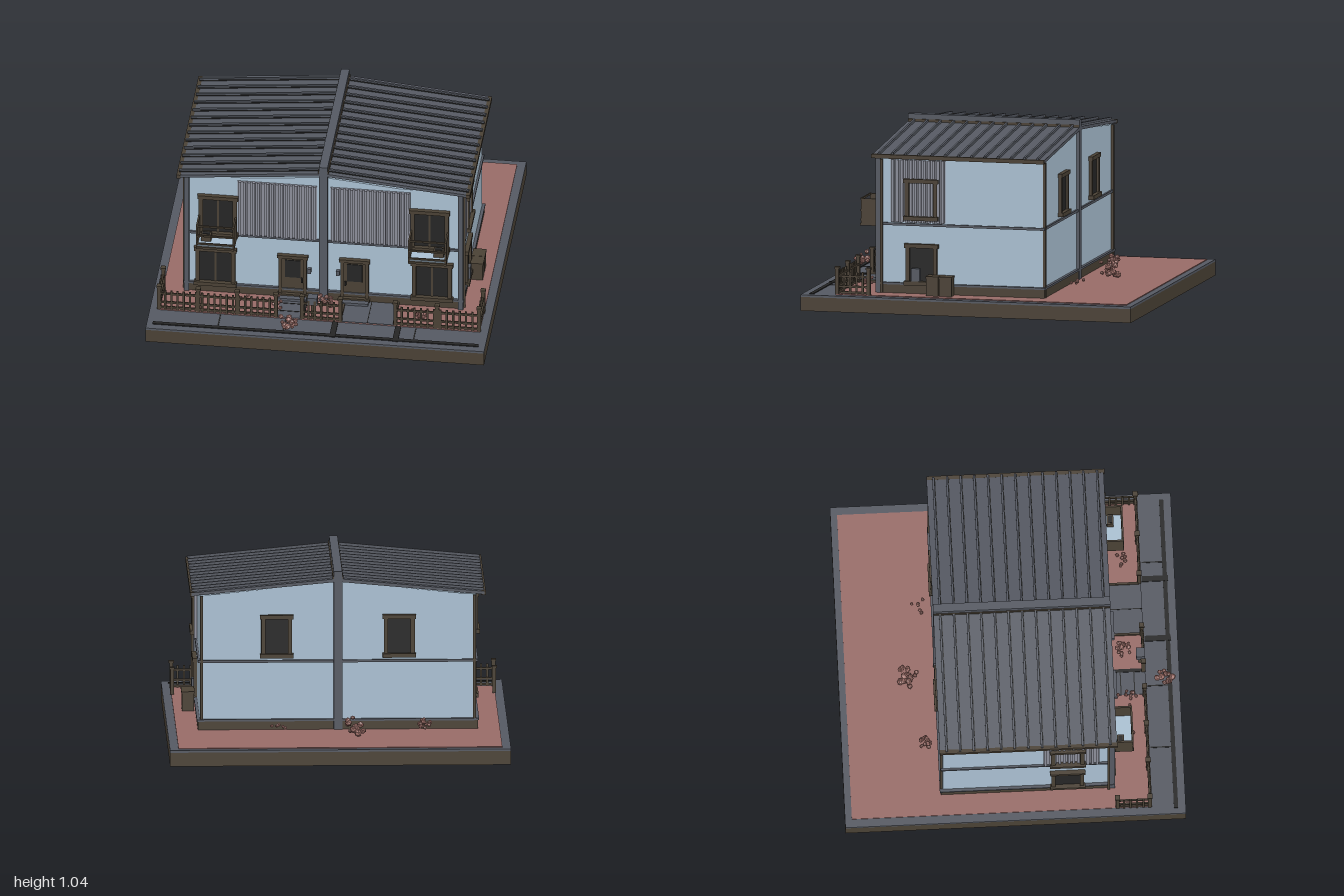
import * as THREE from 'three';

const mat = (name, color, side = THREE.FrontSide) => {
  const m = new THREE.MeshStandardMaterial({ color, side });
  m.name = name;
  return m;
};

export function createModel() {
  const root = new THREE.Group();
  const wall = mat('blue wall', 0xa9bfd1);
  const slate = mat('slate', 0x555962);
  const brown = mat('dark brown', 0x4a4135);
  const black = mat('dark glass', 0x252525);
  const brick = mat('red ground', 0x976b67);
  const slatGrey = mat('slat grey', 0x8b8d99);
  const leaf = mat('shrub pink', 0xa3736c);
  leaf.flatShading = true;

  const box = (name, m, x0, x1, y0, y1, z0, z1, parent = root) => {
    const mesh = new THREE.Mesh(new THREE.BoxGeometry(x1 - x0, y1 - y0, z1 - z0), m);
    mesh.position.set((x0 + x1) / 2, (y0 + y1) / 2, (z0 + z1) / 2);
    mesh.name = name;
    parent.add(mesh);
    return mesh;
  };
  const group = (name, x = 0, y = 0, z = 0, ry = 0) => {
    const g = new THREE.Group();
    g.name = name;
    g.position.set(x, y, z);
    g.rotation.y = ry;
    root.add(g);
    return g;
  };
  const shape = pts => new THREE.Shape(pts.map(p => new THREE.Vector2(...p)));
  const prism = (name, m, pts, z0, z1) => {
    const geo = new THREE.ExtrudeGeometry(shape(pts), { depth: z1 - z0, bevelEnabled: false });
    const mesh = new THREE.Mesh(geo, m);
    mesh.position.z = z0;
    mesh.name = name;
    root.add(mesh);
  };

  // Plot: plinth, paving, garden, drive and path
  box('plinth', brown, -1, 1, 0, 0.082, -1, 1);
  box('paving', slate, -1, 1, 0.082, 0.095, -1, 1);
  box('garden', brick, -0.95, 0.95, 0.095, 0.1, -0.96, 0.8);
  box('driveway', slate, 0.13, 0.44, 0.1, 0.104, 0.56, 0.8);
  box('drivewayJoint', black, 0.282, 0.287, 0.104, 0.106, 0.56, 0.8);
  box('path', slate, -0.25, -0.11, 0.1, 0.104, 0.56, 0.8);
  box('pathEdge', black, -0.11, -0.09, 0.1, 0.108, 0.56, 0.8);
  for (const z of [0.65, 0.73]) box('pathJoint', black, -0.25, -0.11, 0.104, 0.106, z, z + 0.006);
  box('gutterStrip', black, -0.965, 0.96, 0.095, 0.1, 0.93, 0.955);
  for (const x of [0.08, 0.452]) box('crossDrain', black, x, x + 0.034, 0.095, 0.101, 0.805, 0.96);
  for (const x of [-0.585, -0.2, 0.57]) box('pavingJoint', black, x, x + 0.007, 0.095, 0.098, 0.81, 0.93);

  // House body, with the open gable seen from behind
  prism('walls', wall, [[-0.81, 0.1], [0.81, 0.1], [0.81, 0.905], [0.44, 0.912], [0, 0.955], [-0.44, 0.912], [-0.81, 0.905]], -0.42, 0.567);
  const gable = new THREE.Mesh(new THREE.ShapeGeometry(shape([[-0.81, 0.9], [0.81, 0.9], [0, 0.984]])), wall);
  gable.rotation.y = Math.PI;
  gable.position.z = -0.421;
  gable.name = 'backGable';
  root.add(gable);
  box('footing', brown, -0.822, 0.822, 0.1, 0.15, -0.432, 0.577);
  box('footingCap', slate, -0.828, 0.828, 0.15, 0.162, -0.438, 0.583);
  box('floorBand', slate, -0.822, 0.822, 0.5, 0.515, -0.432, 0.577);

  // Roof slopes, seams, eaves and party wall
  for (const s of [-1, 1]) {
    const pts = [[0, 0.984], [s * 0.86, 0.904], [s * 0.86, 0.922], [0, 1.003]];
    prism('roofSlope', slate, s > 0 ? pts : pts.reverse(), -0.44, 0.6);
    for (let i = 0; i < 13; i++) {
      const seam = box('roofSeam', slate, -0.425, 0.425, -0.007, 0.009, -0.006, 0.006);
      seam.position.set(s * 0.434, 0.968, -0.4 + i * 0.08);
      seam.rotation.z = -s * Math.atan2(0.081, 0.86);
      const shade = box('seamGroove', black, -0.425, 0.425, -0.003, 0.003, -0.002, 0.002);
      shade.position.set(s * 0.434, 0.964, -0.391 + i * 0.08);
      shade.rotation.z = seam.rotation.z;
    }
    box('eavesGutter', brown, s * 0.855 - 0.012, s * 0.855 + 0.012, 0.9, 0.924, -0.44, 0.605);
    box('downpipe', slate, s * 0.81 - 0.015, s * 0.81 + 0.015, 0.1, 0.905, 0.56, 0.59);
    box('cornerPipe', brown, s * 0.828 - 0.007, s * 0.828 + 0.007, 0.1, 0.89, 0.545, 0.56);
    box('rearPipe', brown, s * 0.8 - 0.008, s * 0.8 + 0.008, 0.1, 0.9, -0.436, -0.42);
  }
  box('ridgeWall', slate, -0.025, 0.025, 0.95, 1.045, -0.44, 0.6);
  box('ridgeFlashing', brown, -0.031, 0.031, 0.99, 1.015, -0.437, 0.597);
  box('frontPilaster', slate, -0.025, 0.025, 0.1, 1, 0.56, 0.6);
  box('backPilaster', slate, -0.025, 0.025, 0.1, 1, -0.44, -0.41);

  // Framed opening; local z points out of the wall
  const opening = (name, x, y, z, ry, w, h, { glass = true, mullion = true, f = 0.024 } = {}) => {
    const g = group(name, x, y, z, ry), a = w / 2;
    for (const s of [-1, 1]) box('jamb', brown, s * (a - f / 2) - f / 2, s * (a - f / 2) + f / 2, 0, h, 0, 0.02, g);
    box('head', brown, -a - 0.008, a + 0.008, h - f, h, 0, 0.026, g);
    box('sill', brown, -a - 0.008, a + 0.008, 0, f, 0, 0.032, g);
    if (glass) box('glass', black, -a + f, a - f, f, h - f, 0, 0.006, g);
    if (mullion) box('mullion', brown, -0.006, 0.006, f, h - f, 0, 0.012, g);
    return g;
  };
  // Vertical slat cladding
  const slats = (name, x, y, z, ry, w, h) => {
    const g = group(name, x, y, z, ry), n = Math.round(w / 0.028);
    box('backing', slatGrey, -w / 2, w / 2, 0, h, 0, 0.006, g);
    for (let i = 0; i < n; i++) {
      const c = -w / 2 + (i + 0.5) * w / n;
      box('slat', slatGrey, c - 0.008, c + 0.008, 0, h, 0.006, 0.018, g);
    }
  };

  for (const s of [-1, 1]) {
    // Front openings and cladding
    slats('frontCladding', s * 0.275, 0.515, 0.567, 0, 0.47, 0.375);
    opening('upperFrontWindow', s * 0.625, 0.5, 0.567, 0, 0.225, 0.28);
    opening('lowerFrontWindow', s * 0.64, 0.15, 0.567, 0, 0.235, 0.262);
    const door = opening('frontDoor', s * 0.183, 0.11, 0.567, 0, 0.165, 0.287, { glass: false, mullion: false, f: 0.02 });
    box('doorLeaf', brown, -0.063, 0.063, 0.02, 0.267, 0, 0.01, door);
    box('doorPane', black, -0.045, 0.045, 0.13, 0.25, 0.01, 0.014, door);
    box('doorHandle', black, -s * 0.055 - 0.005, -s * 0.055 + 0.005, 0.1, 0.13, 0.01, 0.022, door);
    box('doorStep', slate, s * 0.183 - 0.085, s * 0.183 + 0.085, 0.1, 0.12, 0.57, 0.63);
    box('doorLamp', slate, s * 0.085 - 0.01, s * 0.085 + 0.01, 0.28, 0.31, 0.567, 0.59);

    // Balcony
    const b = group('balcony', s * 0.627, 0, 0);
    box('balconyBase', brown, -0.113, 0.113, 0.48, 0.494, 0.57, 0.705, b);
    box('balconyFloor', wall, -0.105, 0.105, 0.494, 0.5, 0.57, 0.695, b);
    for (const e of [-1, 1]) box('balconySide', brown, e * 0.108 - 0.005, e * 0.108 + 0.005, 0.49, 0.64, 0.57, 0.7, b);
    for (const y of [0.51, 0.565, 0.632]) box('balconyRail', brown, -0.113, 0.113, y, y + 0.01, 0.694, 0.704, b);
    box('planter', brown, -0.03 + s * 0.06, 0.03 + s * 0.06, 0.5, 0.545, 0.61, 0.65, b);
    box('planterSoil', black, -0.022 + s * 0.06, 0.022 + s * 0.06, 0.545, 0.549, 0.618, 0.642, b);

    // Side and back openings
    const ry = s * Math.PI / 2;
    slats('sideCladding', s * 0.81, 0.52, 0.335, ry, 0.33, 0.37);
    opening('upperSideWindow', s * 0.818, 0.535, 0.313, ry, 0.195, 0.245, { glass: false, mullion: false });
    opening('lowerSideWindow', s * 0.81, 0.15, 0.313, ry, 0.19, 0.245, { mullion: false });
    opening('backWindow', s * 0.36, 0.53, -0.42, Math.PI, 0.18, 0.255, { mullion: false });
  }
  box('meterBox', slate, 0.81, 0.84, 0.165, 0.25, 0.32, 0.37);

  // Bins and letterbox
  for (const z of [0.112, 0.192]) {
    box('bin', brown, 0.83, 0.9, 0.1, 0.205, z, z + 0.074);
    box('binLid', brown, 0.826, 0.904, 0.205, 0.216, z - 0.002, z + 0.076);
  }
  box('letterboxPost', brown, -0.05, -0.03, 0.1, 0.2, 0.765, 0.785);
  box('letterbox', slate, -0.07, -0.012, 0.2, 0.25, 0.75, 0.8);

  // Picket fence runs
  const fence = (x0, z0, x1, z1, posts) => {
    const len = Math.hypot(x1 - x0, z1 - z0);
    const g = group('fence', x0, 0.1, z0, -Math.atan2(z1 - z0, x1 - x0));
    for (const y of [0.005, 0.04, 0.1]) box('fenceRail', brown, 0, len, y, y + 0.012, -0.005, 0.005, g);
    const n = Math.round(len / 0.037);
    for (let i = 1; i < n; i++) box('picket', brown, i * len / n - 0.006, i * len / n + 0.006, 0, 0.132, 0.003, 0.011, g);
    for (let i = 0; i <= posts; i++) {
      const c = i * len / posts;
      box('fencePost', brown, c - 0.011, c + 0.011, 0, 0.15, -0.011, 0.011, g);
      box('postCap', brown, c - 0.015, c + 0.015, 0.15, 0.162, -0.015, 0.015, g);
    }
  };
  fence(-0.945, 0.79, -0.255, 0.79, 3);
  fence(-0.1, 0.79, 0.125, 0.79, 1);
  fence(0.45, 0.79, 0.945, 0.79, 2);
  for (const s of [-1, 1]) fence(s * 0.945, 0.6, s * 0.945, 0.79, 1);
  box('bedEdge', brown, 0.12, 0.132, 0.1, 0.115, 0.57, 0.79);
  box('bedEdge', brown, 0.435, 0.447, 0.1, 0.115, 0.57, 0.79);

  // Faceted shrubs and scattered stones
  let seed = 7;
  const rnd = () => (seed = (seed * 16807) % 2147483647) / 2147483647;
  const rock = (name, m, x, y, z, r) => {
    const mesh = new THREE.Mesh(new THREE.IcosahedronGeometry(r, 0), m);
    mesh.position.set(x, y, z);
    mesh.rotation.set(rnd() * 3, rnd() * 3, rnd() * 3);
    mesh.scale.y = 0.8;
    mesh.name = name;
    root.add(mesh);
  };
  for (const [x, z, r] of [[-0.17, 0.91, 0.055], [0.02, 0.68, 0.05], [-0.09, -0.59, 0.06], [-0.51, -0.51, 0.042]]) {
    for (let i = 0; i < 14; i++) {
      const a = rnd() * 6.28, d = Math.sqrt(rnd()) * r * 0.9;
      rock('shrub', leaf, x + Math.cos(a) * d, 0.115 + rnd() * r * 1.3, z + Math.sin(a) * d, r * (0.22 + rnd() * 0.2));
    }
  }
  const scatter = (n, x0, x1, z0, z1) => {
    for (let i = 0; i < n; i++) rock('plant', leaf, x0 + rnd() * (x1 - x0), 0.11 + rnd() * 0.04, z0 + rnd() * (z1 - z0), 0.012);
  };
  scatter(16, -0.5, -0.2, 0.63, 0.74);
  scatter(8, 0.52, 0.72, 0.66, 0.75);
  scatter(6, 0.3, 0.4, -0.58, -0.48);
  return root;
}
